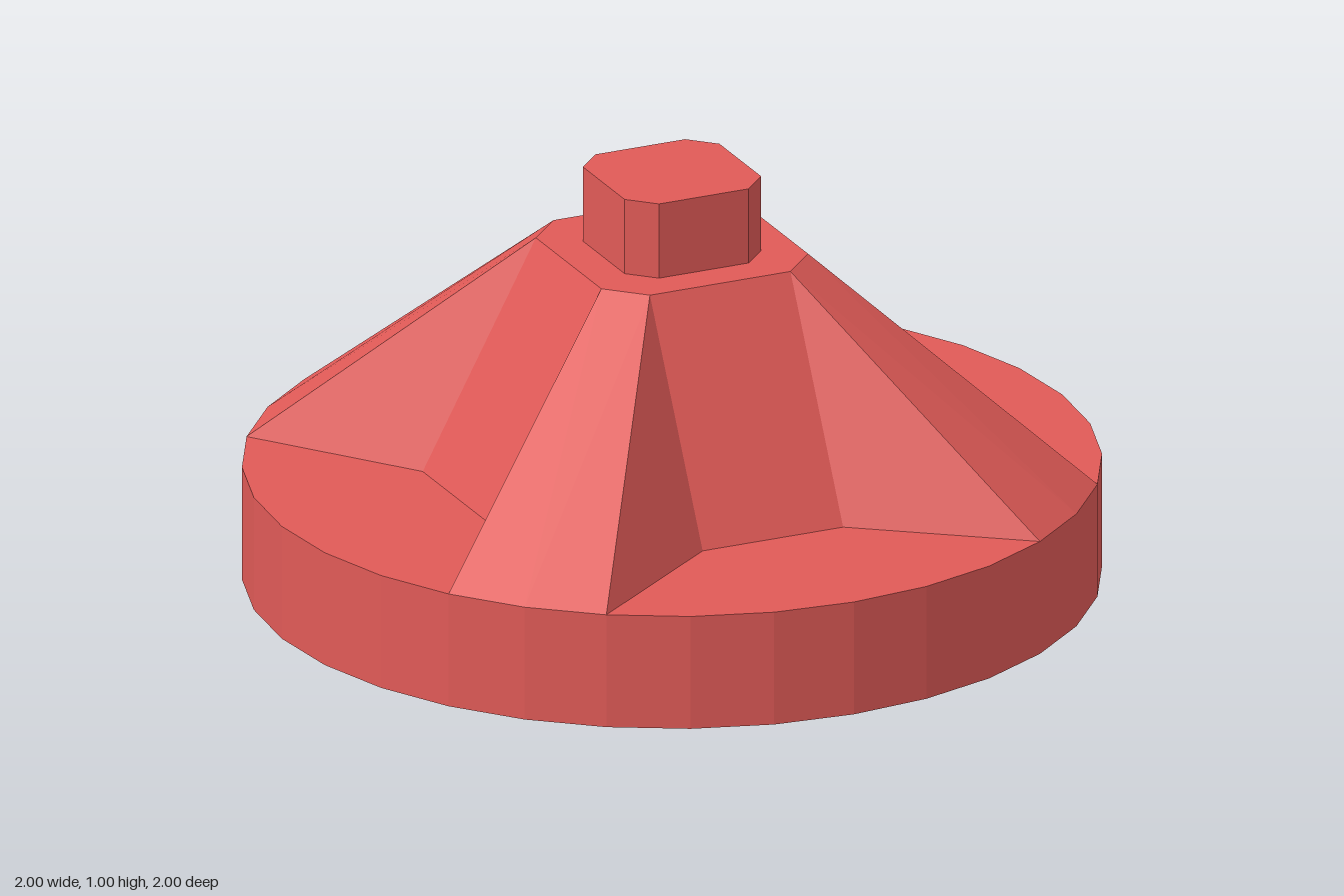
import * as THREE from 'three';

const BASE_TOP = 0.28, HUB_TOP = 0.815, KNOB_TOP = 1;

// One quarter of the ribbed hub, facing +z: recess, two flanks, rib and cap
function hubQuarter() {
  const low = (x, z) => [x, BASE_TOP, z];
  const high = (x, z) => [x, HUB_TOP, z];
  const recessL = low(-0.18, 0.555), recessR = low(0.18, 0.555);
  const ribA = low(0.5556, 0.8315), ribMid = low(0.7071, 0.7071), ribB = low(0.8315, 0.5556);
  const nextRecess = low(0.555, 0.18);
  const topL = high(-0.18, 0.265), topR = high(0.18, 0.265), topNext = high(0.265, 0.18);
  const centre = high(0, 0);
  const triangles = [
    [recessL, recessR, topR], [recessL, topR, topL],
    [recessR, ribA, topR], [ribB, nextRecess, topNext],
    [topR, ribA, ribMid], [topR, ribMid, topNext], [topNext, ribMid, ribB],
    [centre, topL, topR], [centre, topR, topNext],
  ];
  const geometry = new THREE.BufferGeometry();
  geometry.setAttribute('position', new THREE.Float32BufferAttribute(triangles.flat(2), 3));
  geometry.computeVertexNormals();
  return geometry;
}

// Square with cut corners, extruded upwards
function knobGeometry(half, inner, height) {
  const outline = [
    [half, -inner], [half, inner], [inner, half], [-inner, half],
    [-half, inner], [-half, -inner], [-inner, -half], [inner, -half],
  ].map(([x, y]) => new THREE.Vector2(x, y));
  return new THREE.ExtrudeGeometry(new THREE.Shape(outline), { depth: height, bevelEnabled: false })
    .rotateX(-Math.PI / 2);
}

export function createModel() {
  const model = new THREE.Group();
  const red = new THREE.MeshStandardMaterial({ color: 0xe05a57, flatShading: true });

  // Round base disc
  const base = new THREE.Mesh(new THREE.CylinderGeometry(1, 1, BASE_TOP, 32), red);
  base.name = 'base';
  base.position.y = BASE_TOP / 2;
  model.add(base);

  // Tapered hub with four ribs
  const hub = new THREE.Group();
  hub.name = 'hub';
  const quarter = hubQuarter();
  for (let i = 0; i < 4; i++) {
    const mesh = new THREE.Mesh(quarter, red);
    mesh.name = 'hubQuarter';
    mesh.rotation.y = i * Math.PI / 2;
    hub.add(mesh);
  }
  model.add(hub);

  // Knob on top
  const knob = new THREE.Mesh(knobGeometry(0.175, 0.115, KNOB_TOP - HUB_TOP), red);
  knob.name = 'knob';
  knob.position.y = HUB_TOP;
  model.add(knob);

  return model;
}
